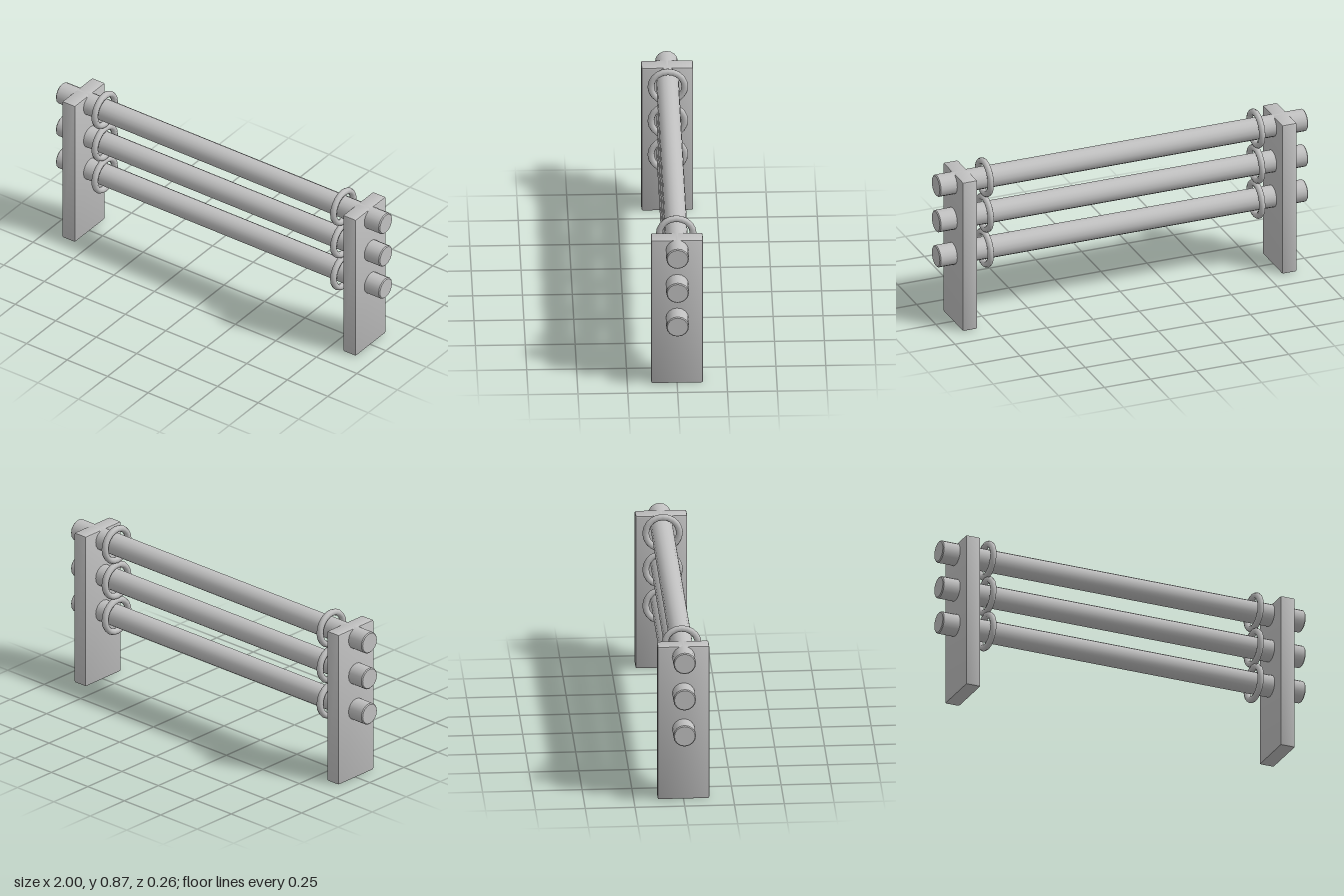
import * as THREE from 'three';
import { toCreasedNormals } from 'three/addons/utils/BufferGeometryUtils.js';
import { RoundedBoxGeometry } from 'three/addons/geometries/RoundedBoxGeometry.js';

const RAIL_HEIGHTS = [0.378, 0.573, 0.77];
const POST_HEIGHT = 0.826;

// Round bar along x with chamfered ends
function railGeometry(halfLength, radius, chamfer) {
  const profile = [
    [0, -halfLength],
    [radius - chamfer, -halfLength],
    [radius, -halfLength + chamfer],
    [radius, halfLength - chamfer],
    [radius - chamfer, halfLength],
    [0, halfLength],
  ].map(([r, y]) => new THREE.Vector2(r, y));
  const geometry = new THREE.LatheGeometry(profile, 16).rotateZ(Math.PI / 2);
  return toCreasedNormals(geometry, 0.6);
}

export function createModel() {
  const model = new THREE.Group();
  model.name = 'fence';

  const grey = new THREE.MeshStandardMaterial({ color: 0xc0c0c0 });
  grey.name = 'grey';

  const add = (name, geometry, x, y) => {
    const mesh = new THREE.Mesh(geometry, grey);
    mesh.name = name;
    mesh.position.set(x, y, 0);
    model.add(mesh);
  };

  const post = toCreasedNormals(new RoundedBoxGeometry(0.08, POST_HEIGHT, 0.26, 1, 0.008), 0.5);
  const rail = railGeometry(1, 0.057, 0.005);
  const ring = new THREE.TorusGeometry(0.085, 0.017, 8, 20).rotateY(Math.PI / 2);

  // Upright plank at each end
  for (const [side, name] of [[1, 'left'], [-1, 'right']]) {
    add(`${name}Post`, post, side * 0.867, POST_HEIGHT / 2);
  }

  // Three rails through the posts, each with a loose ring near both ends
  RAIL_HEIGHTS.forEach((y, i) => {
    add(`rail${i + 1}`, rail, 0, y);
    add(`leftRing${i + 1}`, ring, 0.737, y);
    add(`rightRing${i + 1}`, ring, -0.737, y);
  });

  return model;
}
